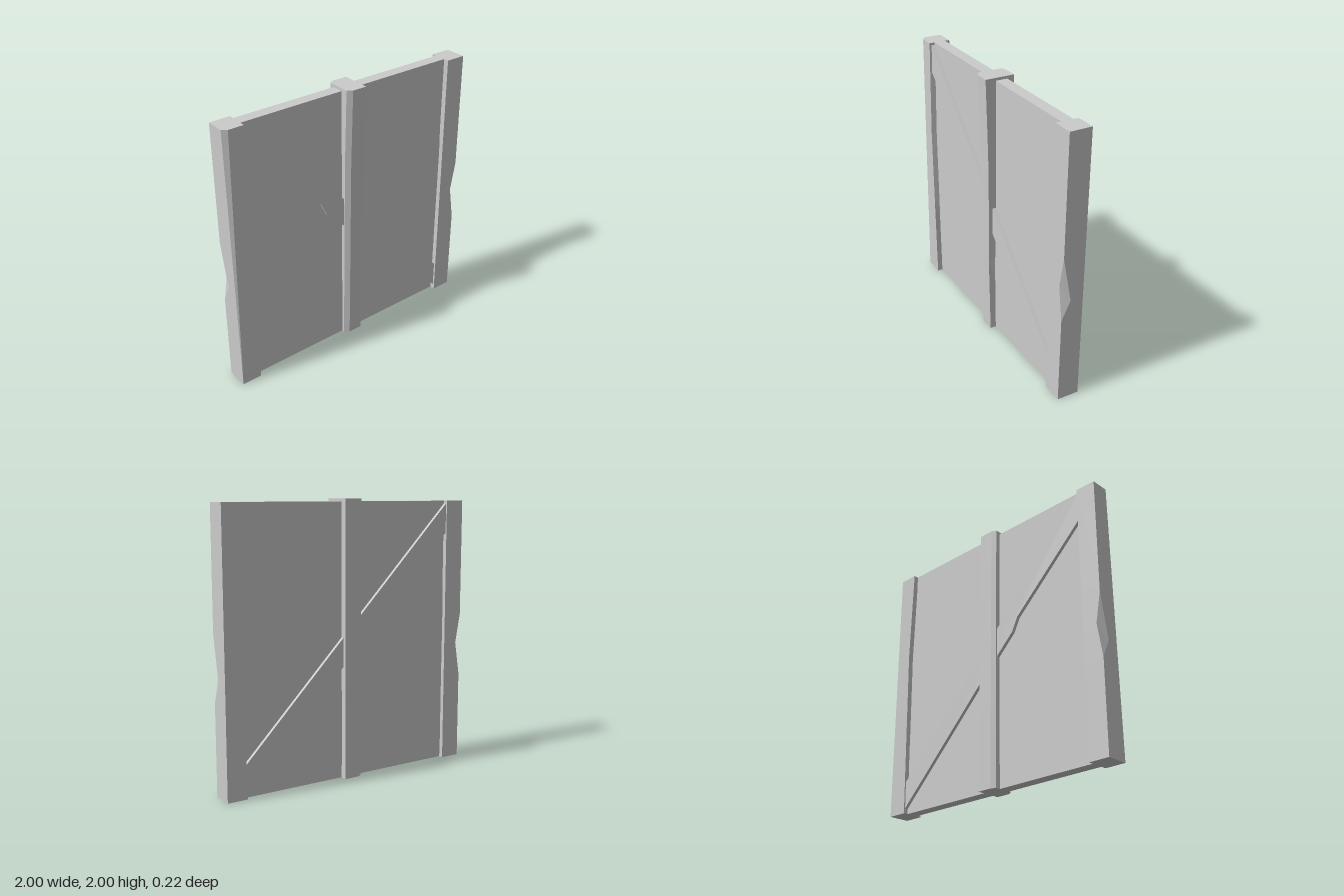
import * as THREE from 'three';

const material = new THREE.MeshStandardMaterial({ color: 0xcccccc, flatShading: true });

function addMesh(parent, name, geometry) {
  const mesh = new THREE.Mesh(geometry, material);
  mesh.name = name;
  parent.add(mesh);
  return mesh;
}

// Linear interpolation through [y, value] keys
function along(keys, y) {
  for (let i = 1; i < keys.length; i++) {
    const [y0, v0] = keys[i - 1], [y1, v1] = keys[i];
    if (y <= y1) return THREE.MathUtils.lerp(v0, v1, (y - y0) / (y1 - y0));
  }
  return keys[keys.length - 1][1];
}

// Skin convex horizontal outlines stacked at the given heights
function loft(heights, outline) {
  const rings = heights.map(y => outline(y).map(([x, z]) => new THREE.Vector3(x, y, z)));
  const positions = [];
  const triangle = (a, b, c) => {
    if (new THREE.Triangle(a, b, c).getArea() < 1e-8) return;
    for (const p of [a, b, c]) positions.push(p.x, p.y, p.z);
  };
  const n = rings[0].length;
  for (let r = 1; r < rings.length; r++) {
    const a = rings[r - 1], b = rings[r];
    for (let i = 0; i < n; i++) {
      const j = (i + 1) % n;
      triangle(a[i], a[j], b[i]);
      triangle(a[j], b[j], b[i]);
    }
  }
  const bottom = rings[0], top = rings[rings.length - 1];
  for (let i = 1; i < n - 1; i++) {
    triangle(top[0], top[i], top[i + 1]);
    triangle(bottom[0], bottom[i + 1], bottom[i]);
  }
  const geometry = new THREE.BufferGeometry();
  geometry.setAttribute('position', new THREE.Float32BufferAttribute(positions, 3));
  geometry.computeVertexNormals();
  return geometry;
}

// Side post: chipped outer front edge, worn inner back edge,
// optional outer back chamfer that fades out toward the foot
function sidePost(chamfer) {
  const chipX = [[0, 1], [0.65, 1], [0.9, 0.96], [1.12, 1], [1.98, 1]];
  const chipZ = [[0, 0.08], [0.65, 0.08], [0.79, 0.015], [1.12, 0.08], [1.98, 0.08]];
  const wear = [[0, 0.85], [1.25, 0.875], [1.98, 0.853]];
  return loft([0, 0.65, 0.79, 0.9, 1.12, 1.25, 1.98], y => {
    const c = chamfer * y / 1.98;
    return [
      [0.85, 0.08], [along(chipX, y), 0.08], [1, along(chipZ, y)],
      [1, -0.08 + 0.025 * c], [1 - 0.035 * c, -0.08], [along(wear, y), -0.08],
    ];
  });
}

// Centre post: leans forward at the top, chamfered on one side
function centrePost() {
  const front = [[0, 0.075], [1.45, 0.09], [2, 0.108]];
  const wear = [[0, 0.07], [0.6, 0.057], [1.05, 0.068], [2, 0.07]];
  return loft([0, 0.6, 1.05, 1.45, 2], y => {
    const z = along(front, y);
    return [
      [-0.04, z], [along(wear, y), z], [0.07, -0.107],
      [-0.04, -0.107], [-0.075, -0.09], [-0.075, z - 0.025],
    ];
  });
}

export function createModel() {
  const group = new THREE.Group();
  group.name = 'woodenWallPanel';

  // Thin board between the posts
  addMesh(group, 'panel', new THREE.BoxGeometry(1.74, 1.98, 0.085)).position.set(0, 0.99, -0.0125);

  // Diagonal brace standing proud of both faces, with a broken step below
  const braceShape = new THREE.Shape([
    [-0.865, 1.975], [-0.865, 1.755], [-0.27, 1.2], [-0.22, 1.1],
    [0.07, 0.82], [0.865, 0.025], [0.865, 0.225],
  ].map(([x, y]) => new THREE.Vector2(x, y)));
  const brace = new THREE.ExtrudeGeometry(braceShape, { depth: 0.135, bevelEnabled: false });
  addMesh(group, 'diagonalBrace', brace).position.z = -0.08;

  // Side posts: one is the other turned half round
  addMesh(group, 'leftPost', sidePost(0)).position.z = -0.01;
  const right = addMesh(group, 'rightPost', sidePost(1));
  right.position.z = -0.01;
  right.rotation.y = Math.PI;

  addMesh(group, 'centrePost', centrePost());
  return group;
}
